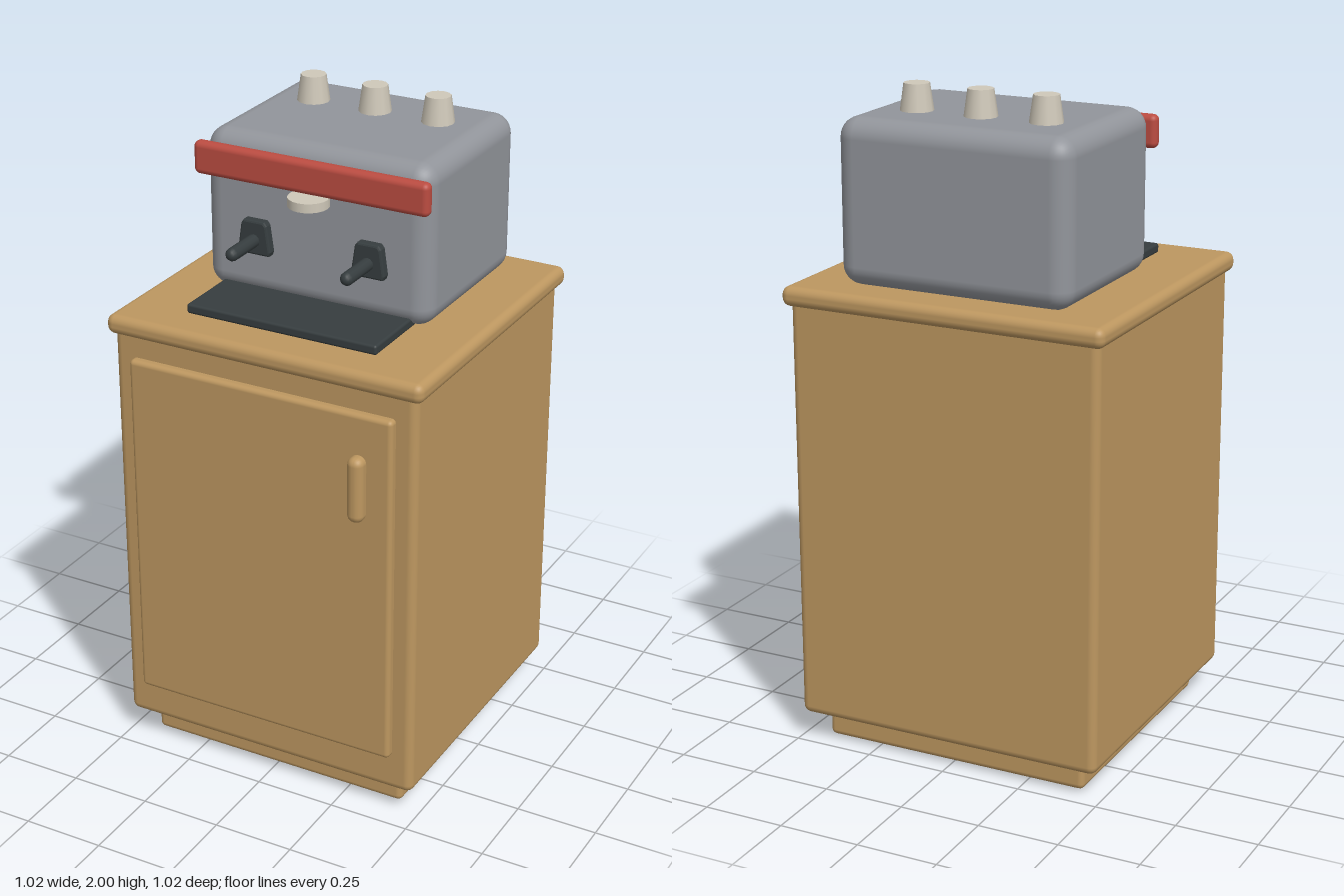
import * as THREE from 'three';
import { RoundedBoxGeometry } from 'three/addons/geometries/RoundedBoxGeometry.js';

const material = (name, color) => Object.assign(new THREE.MeshStandardMaterial({ color }), { name });

export function createModel() {
  const model = new THREE.Group();
  model.name = 'machineOnCabinet';
  const wood = material('wood', 0xbd9760);
  const steel = material('greySteel', 0x92959b);
  const red = material('red', 0xbb4c41);
  const dark = material('charcoal', 0x363d3f);
  const cream = material('cream', 0xcfc8b9);

  const add = (name, geometry, mat, x = 0, y = 0, z = 0) => {
    const mesh = new THREE.Mesh(geometry, mat);
    mesh.name = name;
    mesh.position.set(x, y, z);
    model.add(mesh);
    return mesh;
  };
  // Rounded box given by its extents on each axis
  const block = (name, mat, [x0, x1], [y0, y1], [z0, z1], radius, segments = 3) =>
    add(name, new RoundedBoxGeometry(x1 - x0, y1 - y0, z1 - z0, segments, radius), mat,
      (x0 + x1) / 2, (y0 + y1) / 2, (z0 + z1) / 2);

  // Cabinet
  block('plinth', wood, [-0.427, 0.427], [0, 0.09], [-0.43, 0.388], 0.018);
  block('cabinetBody', wood, [-0.49, 0.49], [0.085, 1.4], [-0.49, 0.45], 0.025);
  block('countertop', wood, [-0.51, 0.51], [1.37, 1.43], [-0.51, 0.465], 0.025);
  block('door', wood, [-0.427, 0.427], [0.205, 1.31], [0.425, 0.476], 0.014);
  block('doorHandle', wood, [0.299, 0.35], [0.983, 1.187], [0.455, 0.512], 0.024);

  // Machine housing, bumper bar and drip tray
  block('housing', steel, [-0.367, 0.367], [1.43, 1.92], [-0.43, 0.14], 0.06, 4);
  block('frontBar', red, [-0.377, 0.377], [1.79, 1.89], [0.138, 0.178], 0.018);
  block('dripTray', dark, [-0.308, 0.308], [1.43, 1.46], [0.02, 0.343], 0.008, 2);

  // Disc spout under the bar
  add('spoutDisc', new THREE.CylinderGeometry(0.061, 0.061, 0.027, 20), cream, 0, 1.773, 0.17);

  // Knobs on the top
  for (const x of [-0.205, 0, 0.205]) {
    add('topKnob', new THREE.CylinderGeometry(0.038, 0.05, 0.085, 12), cream, x, 1.9575, -0.23);
  }

  // Tapered mounts with projecting lever handles
  const outline = new THREE.Shape([
    [-0.044, -0.046], [0.044, -0.046], [0.047, -0.038], [0.036, 0.038],
    [0.03, 0.046], [-0.03, 0.046], [-0.036, 0.038], [-0.047, -0.038],
  ].map(([x, y]) => new THREE.Vector2(x, y)));
  for (const x of [-0.185, 0.185]) {
    add('leverMount', new THREE.ExtrudeGeometry(outline, {
      depth: 0.025, bevelThickness: 0.007, bevelSize: 0.006, bevelSegments: 2,
    }), dark, x, 1.624, 0.135);
    const lever = add('lever', new THREE.CapsuleGeometry(0.02, 0.145, 4, 12), dark, x, 1.616, 0.2125);
    lever.rotation.x = Math.PI / 2;
  }
  return model;
}
